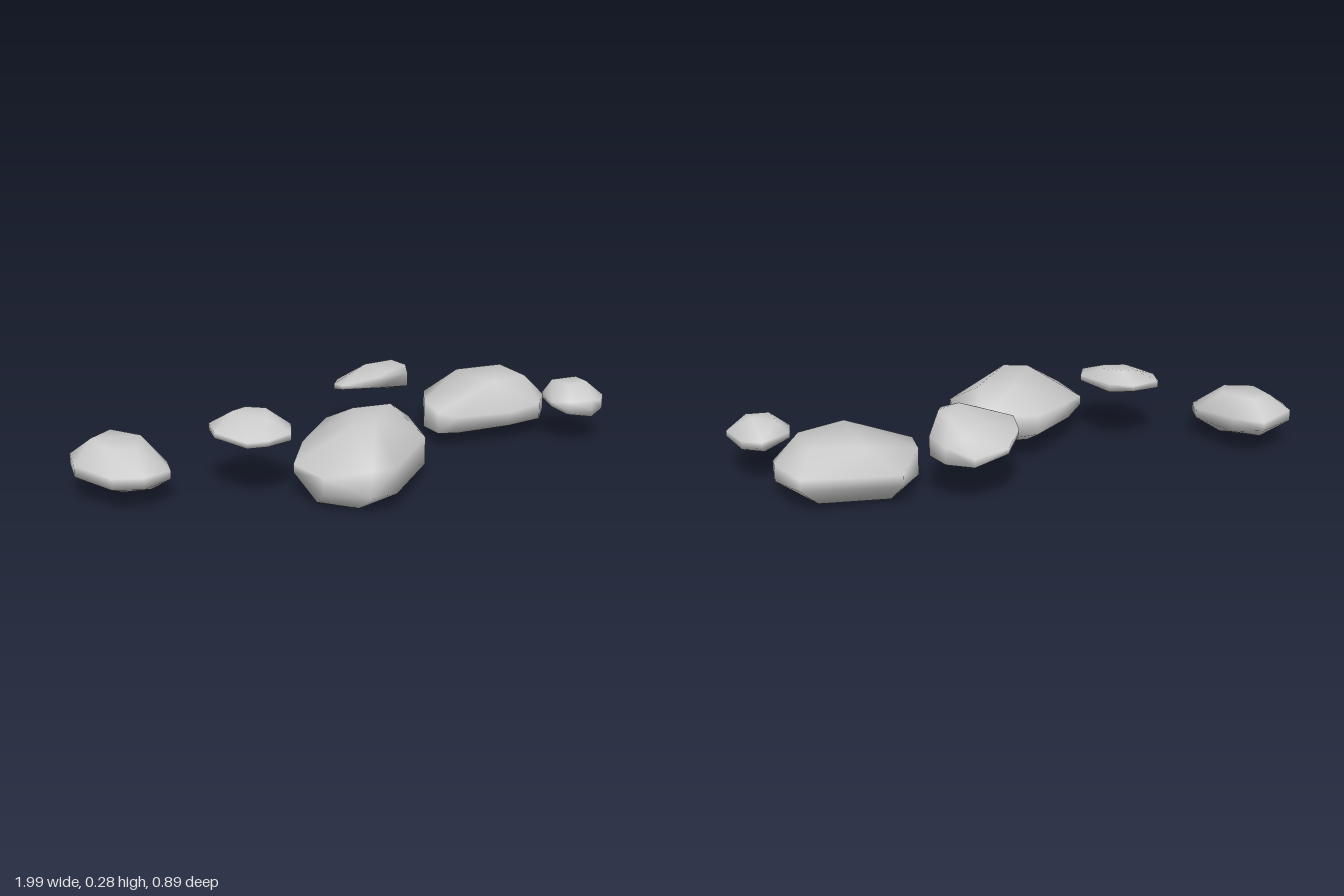
import * as THREE from 'three';
import { ConvexGeometry } from 'three/addons/geometries/ConvexGeometry.js';
import { mergeVertices } from 'three/addons/utils/BufferGeometryUtils.js';

const material = new THREE.MeshStandardMaterial({ color: 0xcccccc });

// A smooth-shaded boulder: rim corners [x, z, lowY, highY], crown and base corners [x, y, z]
function boulder(name, rim, crown, base) {
  const points = [...crown, ...base].map((p) => new THREE.Vector3(...p));
  for (const [x, z, low, high] of rim) {
    points.push(new THREE.Vector3(x, low, z), new THREE.Vector3(x, high, z));
  }
  const hull = new ConvexGeometry(points);
  hull.deleteAttribute('normal');
  const geometry = mergeVertices(hull, 1e-4);
  geometry.computeVertexNormals();
  const mesh = new THREE.Mesh(geometry, material);
  mesh.name = name;
  return mesh;
}

export function createModel() {
  const group = new THREE.Group();
  group.name = 'rockCluster';

  // Large rock in the middle
  group.add(boulder('centreRock',
    [[-0.31, 0.17, 0.09, 0.12], [-0.23, 0.05, 0.09, 0.15], [-0.08, -0.10, 0.10, 0.17],
      [0.11, -0.08, 0.08, 0.18], [0.20, 0, 0.07, 0.17], [0.18, 0.18, 0.05, 0.15],
      [-0.04, 0.42, 0.06, 0.15], [-0.14, 0.44, 0.065, 0.16], [-0.27, 0.34, 0.06, 0.12]],
    [[-0.12, 0.24, 0.22], [-0.03, 0.25, 0.22], [0.11, 0.24, 0.04], [-0.03, 0.24, 0.03]],
    [[-0.27, 0.015, 0.28], [-0.16, 0.012, 0.38], [-0.04, 0, 0.22], [0.15, 0.05, 0.03], [-0.06, 0.05, -0.02]]));

  // Wide rock on the left side, behind the middle
  group.add(boulder('wideRock',
    [[0.365, -0.09, 0.05, 0.13], [0.365, -0.21, 0.04, 0.14], [0.445, -0.38, 0.08, 0.12],
      [0.78, -0.365, 0.09, 0.13], [0.85, -0.22, 0.07, 0.13], [0.85, -0.16, 0.06, 0.12],
      [0.78, -0.065, 0.06, 0.12], [0.64, -0.04, 0.06, 0.11], [0.43, -0.065, 0.05, 0.11]],
    [[0.60, 0.22, -0.10], [0.76, 0.21, -0.15], [0.74, 0.212, -0.31], [0.56, 0.21, -0.325]],
    [[0.41, 0.02, -0.17], [0.58, 0.01, -0.16], [0.76, 0.035, -0.18], [0.72, 0.025, -0.33], [0.48, 0.017, -0.33]]));

  // Raised rock at the back
  group.add(boulder('backRock',
    [[0.04, -0.23, 0.22, 0.235], [0.04, -0.31, 0.20, 0.22], [0.10, -0.42, 0.18, 0.20],
      [0.22, -0.45, 0.155, 0.185], [0.31, -0.415, 0.16, 0.22], [0.35, -0.34, 0.165, 0.235],
      [0.28, -0.18, 0.22, 0.27], [0.17, -0.185, 0.225, 0.265]],
    [[0.22, 0.283, -0.19], [0.30, 0.283, -0.24], [0.28, 0.283, -0.32], [0.18, 0.272, -0.34], [0.25, 0.245, -0.41]],
    [[0.20, 0.15, -0.42], [0.29, 0.155, -0.39], [0.24, 0.19, -0.27], [0.12, 0.19, -0.32]]));

  // Small rock at the far left
  group.add(boulder('smallLeftRock',
    [[0.77, 0.04, 0.14, 0.16], [0.78, -0.05, 0.15, 0.17], [0.88, -0.12, 0.15, 0.17],
      [0.945, -0.09, 0.14, 0.17], [0.99, 0.04, 0.14, 0.16], [0.95, 0.10, 0.13, 0.16],
      [0.89, 0.125, 0.14, 0.175], [0.81, 0.10, 0.13, 0.17]],
    [[0.82, 0.215, -0.05], [0.905, 0.225, -0.02], [0.92, 0.22, 0.03], [0.84, 0.215, 0.04]],
    [[0.82, 0.112, 0.07], [0.90, 0.105, 0.11], [0.94, 0.11, 0.05], [0.88, 0.10, 0.01], [0.87, 0.125, -0.09]]));

  // Rock at the far right
  group.add(boulder('farRightRock',
    [[-1, -0.08, 0.09, 0.13], [-0.99, -0.18, 0.10, 0.14], [-0.855, -0.27, 0.11, 0.14],
      [-0.765, -0.21, 0.09, 0.14], [-0.69, -0.03, 0.08, 0.115], [-0.70, 0.04, 0.08, 0.11],
      [-0.81, 0.10, 0.08, 0.12], [-0.91, 0.065, 0.08, 0.12]],
    [[-0.92, 0.195, -0.15], [-0.84, 0.20, -0.20], [-0.76, 0.20, -0.10], [-0.80, 0.19, -0.01], [-0.90, 0.19, -0.04]],
    [[-0.92, 0.06, -0.06], [-0.86, 0.05, 0.02], [-0.765, 0.045, 0.02], [-0.76, 0.045, -0.09], [-0.87, 0.06, -0.20]]));

  // Flat raised rock right of the middle
  group.add(boulder('flatRightRock',
    [[-0.55, 0.06, 0.21, 0.23], [-0.54, -0.03, 0.21, 0.235], [-0.43, -0.085, 0.225, 0.245],
      [-0.35, -0.06, 0.22, 0.25], [-0.285, 0.09, 0.215, 0.235], [-0.315, 0.17, 0.205, 0.23],
      [-0.41, 0.20, 0.205, 0.225], [-0.48, 0.19, 0.205, 0.225]],
    [[-0.46, 0.275, -0.01], [-0.41, 0.28, -0.02], [-0.35, 0.28, 0.02], [-0.37, 0.268, 0.09], [-0.46, 0.26, 0.09]],
    [[-0.47, 0.185, 0.09], [-0.40, 0.185, 0.14], [-0.33, 0.195, 0.10], [-0.39, 0.19, 0.01]]));

  return group;
}
